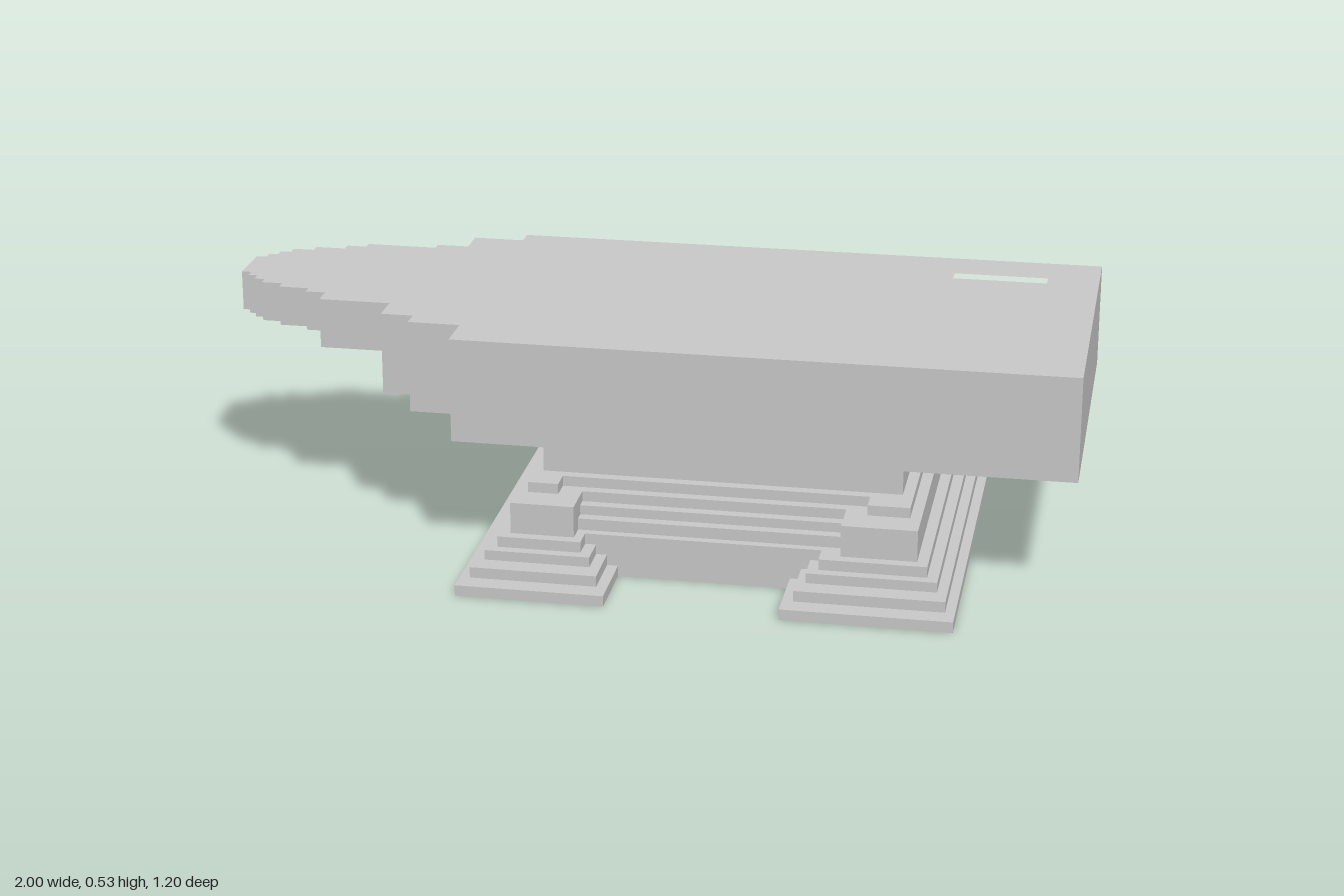
import * as THREE from 'three';

const material = new THREE.MeshStandardMaterial({ color: 0xcccccc, flatShading: true });

// Horizontal slab from an [x, z] outline, with an optional hole
function slab(name, outline, y0, y1, hole) {
  const toV = ([x, z]) => new THREE.Vector2(x, -z);
  const shape = new THREE.Shape(outline.map(toV));
  if (hole) shape.holes.push(new THREE.Path(hole.map(toV)));
  const geo = new THREE.ExtrudeGeometry(shape, { depth: y1 - y0, bevelEnabled: false });
  geo.rotateX(-Math.PI / 2).translate(0, y0, 0);
  const mesh = new THREE.Mesh(geo, material);
  mesh.name = name;
  return mesh;
}

const rect = (x0, x1, z0, z1) => [[x0, z0], [x1, z0], [x1, z1], [x0, z1]];

// H-shaped outline: a rectangle with a notch in its front and back edges
function footOutline([x0, x1, reach, frontL, frontR, backL, backR], core) {
  return [
    [x0, reach], [frontL, reach], [frontL, core], [frontR, core], [frontR, reach], [x1, reach],
    [x1, -reach], [backR, -reach], [backR, -core], [backL, -core], [backL, -reach], [x0, -reach],
  ];
}

export function createModel() {
  const model = new THREE.Group();

  // Stepped base: four-footed tiers with a recessed middle
  const base = new THREE.Group();
  base.name = 'steppedBase';
  const pillar = [-0.255, 0.66, 0.457, -0.11, 0.49, -0.065, 0.545];
  const tiers = [
    // y0, y1, half depth of the middle, foot extents
    [0, 0.025, 0.43, [-0.35, 0.755, 0.602, -0.015, 0.375, 0.035, 0.42]],
    [0.025, 0.05, 0.43, [-0.327, 0.733, 0.554, -0.04, 0.4, 0.01, 0.445]],
    [0.05, 0.073, 0.43, [-0.304, 0.71, 0.506, -0.065, 0.42, -0.015, 0.47]],
    [0.073, 0.098, 0.43, [-0.28, 0.685, 0.482, -0.09, 0.445, -0.04, 0.5]],
    [0.098, 0.125, 0.41, pillar],
    [0.125, 0.147, 0.385, pillar],
    [0.147, 0.171, 0.36, pillar],
    [0.171, 0.195, 0.335, [-0.23, 0.635, 0.386, -0.16, 0.54, -0.11, 0.59]],
  ];
  tiers.forEach(([y0, y1, core, feet], i) => base.add(slab('baseTier' + (i + 1), footOutline(feet, core), y0, y1)));
  model.add(base);

  // Waist between base and body
  model.add(slab('waist', rect(-0.21, 0.61, -0.31, 0.31), 0.195, 0.29));

  // Body with a rectangular pocket in its top
  const top = 0.532, pocketFloor = 0.482;
  const bodyOutline = rect(-0.4, 1, -0.385, 0.408);
  const body = new THREE.Group();
  body.name = 'body';
  body.add(
    slab('bodyBlock', bodyOutline, 0.29, pocketFloor),
    slab('pocketRim', bodyOutline, pocketFloor, top, rect(0.66, 0.88, -0.27, 0.287)),
  );
  model.add(body);

  // Horn: steps narrowing toward the tip
  const horn = new THREE.Group();
  horn.name = 'horn';
  const steps = [
    // outer x, back z, front z, underside y
    [-0.52, -0.34, 0.308, 0.317],
    [-0.595, -0.267, 0.263, 0.341],
    [-0.762, -0.243, 0.187, 0.415],
    [-0.809, -0.221, 0.138, 0.438],
    [-0.88, -0.197, 0.115, 0.438],
    [-0.93, -0.173, 0.09, 0.438],
    [-0.955, -0.148, 0.067, 0.438],
    [-0.977, -0.124, 0.043, 0.438],
    [-1, -0.1, 0.02, 0.438],
  ];
  let inner = -0.4;
  steps.forEach(([x, zBack, zFront, y], i) => {
    horn.add(slab('hornStep' + (i + 1), rect(x, inner, zBack, zFront), y, top));
    inner = x;
  });
  model.add(horn);

  return model;
}
